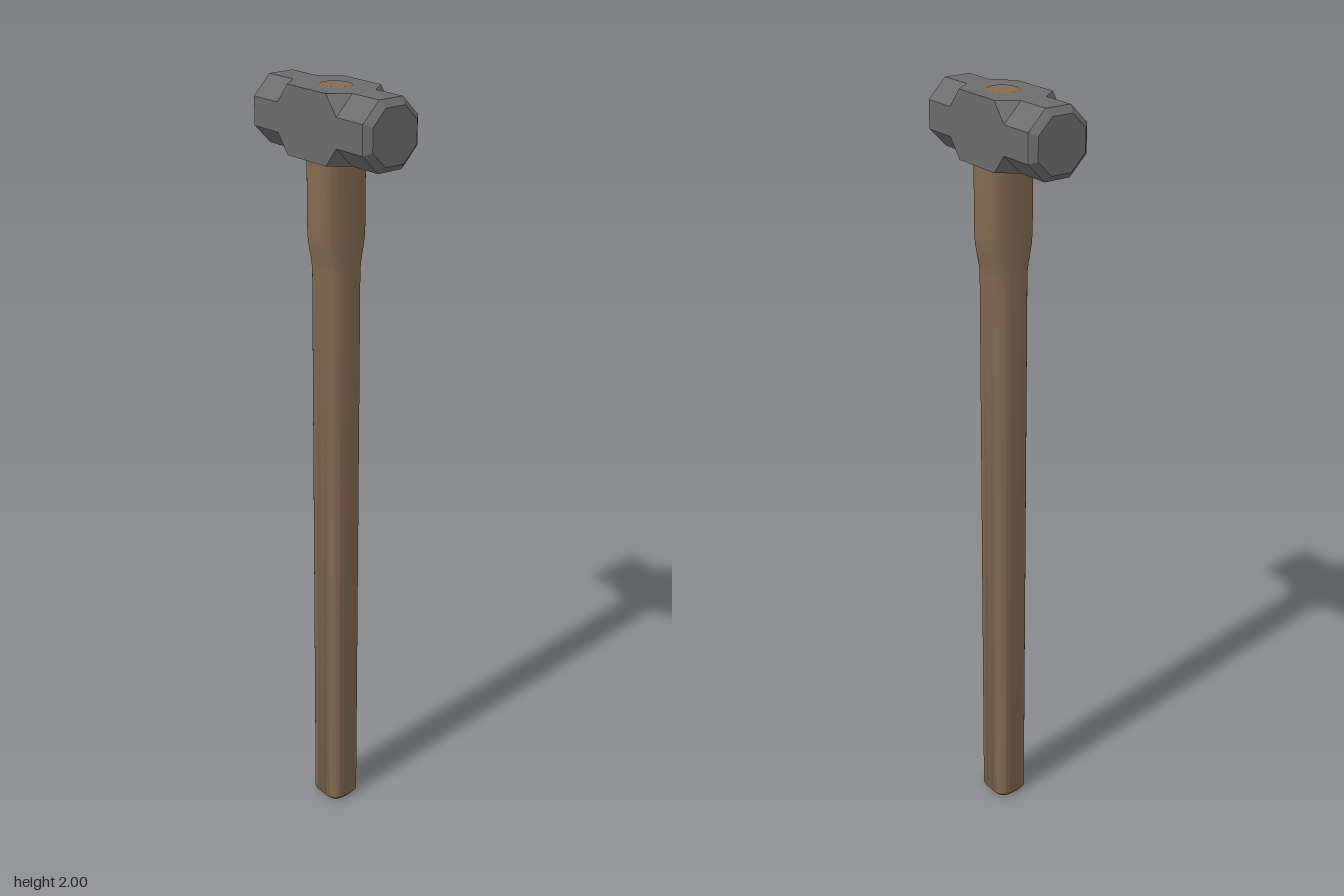
import * as THREE from 'three';
import { toCreasedNormals } from 'three/addons/utils/BufferGeometryUtils.js';

const wood = new THREE.MeshStandardMaterial({ color: 0x846a50 });
wood.name = 'wood';
const steel = new THREE.MeshStandardMaterial({ color: 0x6c6c6c });
steel.name = 'steel';

// Closed solid through cross-sections [z, [[x, y], ...]], counter-clockwise, z rising
function loft(sections, crease) {
  const n = sections[0][1].length;
  const pos = [], index = [];
  for (const [z, ring] of sections) for (const [x, y] of ring) pos.push(x, y, z);
  for (let r = 0; r < sections.length - 1; r++) {
    for (let i = 0; i < n; i++) {
      const a = r * n + i, b = r * n + (i + 1) % n;
      index.push(a, b, b + n, a, b + n, a + n);
    }
  }
  const last = (sections.length - 1) * n;
  for (let i = 1; i < n - 1; i++) {
    index.push(0, i + 1, i);
    index.push(last, last + i, last + i + 1);
  }
  const geo = new THREE.BufferGeometry();
  geo.setAttribute('position', new THREE.Float32BufferAttribute(pos, 3));
  geo.setIndex(index);
  return toCreasedNormals(geo, crease);
}

// Rounded outline: power 2 is an ellipse, higher is squarer
function oval(a, b, power) {
  const ring = [];
  const bend = (v) => Math.sign(v) * Math.abs(v) ** (2 / power);
  for (let i = 0; i < 48; i++) {
    const t = (i / 48) * Math.PI * 2;
    ring.push([a * bend(Math.cos(t)), b * bend(Math.sin(t))]);
  }
  return ring;
}

// Square outline of half width h with flats of half width f (f = h gives a full square)
const octagon = (h, f) => [
  [h, -f], [h, f], [f, h], [-f, h], [-h, f], [-h, -f], [-f, -h], [f, -h],
];

function addMesh(parent, name, geometry, material) {
  const mesh = new THREE.Mesh(geometry, material);
  mesh.name = name;
  parent.add(mesh);
  return mesh;
}

export function createModel() {
  const group = new THREE.Group();
  group.name = 'sledgehammer';

  // Head: square middle, octagonal striking ends with bevelled faces
  const H = 0.082, F = 0.035;
  const half = [
    [0.07, octagon(H, H)],
    [0.107, octagon(H, F)],
    [0.197, octagon(H, F)],
    [0.213, octagon(0.066, 0.028)],
  ];
  const back = half.map(([z, ring]) => [-z, ring]).reverse();
  const head = addMesh(group, 'head', loft([...back, ...half], 0.1), steel);
  head.position.y = 1.916;

  // Handle: squarish oval shaft, bevelled butt, swelling sideways below the head
  const shaft = [
    [0, 0.042], [0.01, 0.05], [1.56, 0.05], [1.585, 0.054],
    [1.61, 0.06], [1.635, 0.065], [1.665, 0.067], [1.84, 0.067],
  ];
  const shaftSections = shaft.map(([y, a], i) => [y, oval(a, i === 0 ? 0.045 : 0.053, 3.2)]);
  const handle = addMesh(group, 'handle', loft(shaftSections, 0.7).rotateX(-Math.PI / 2), wood);
  handle.position.z = 0.009;

  // Handle end showing through the eye on top of the head
  const tip = loft([
    [1.98, oval(0.038, 0.043, 2)],
    [1.998, oval(0.038, 0.043, 2)],
    [2.0, oval(0.035, 0.04, 2)],
  ], 0.4).rotateX(-Math.PI / 2);
  addMesh(group, 'handleTip', tip, wood).position.z = 0.008;

  return group;
}
